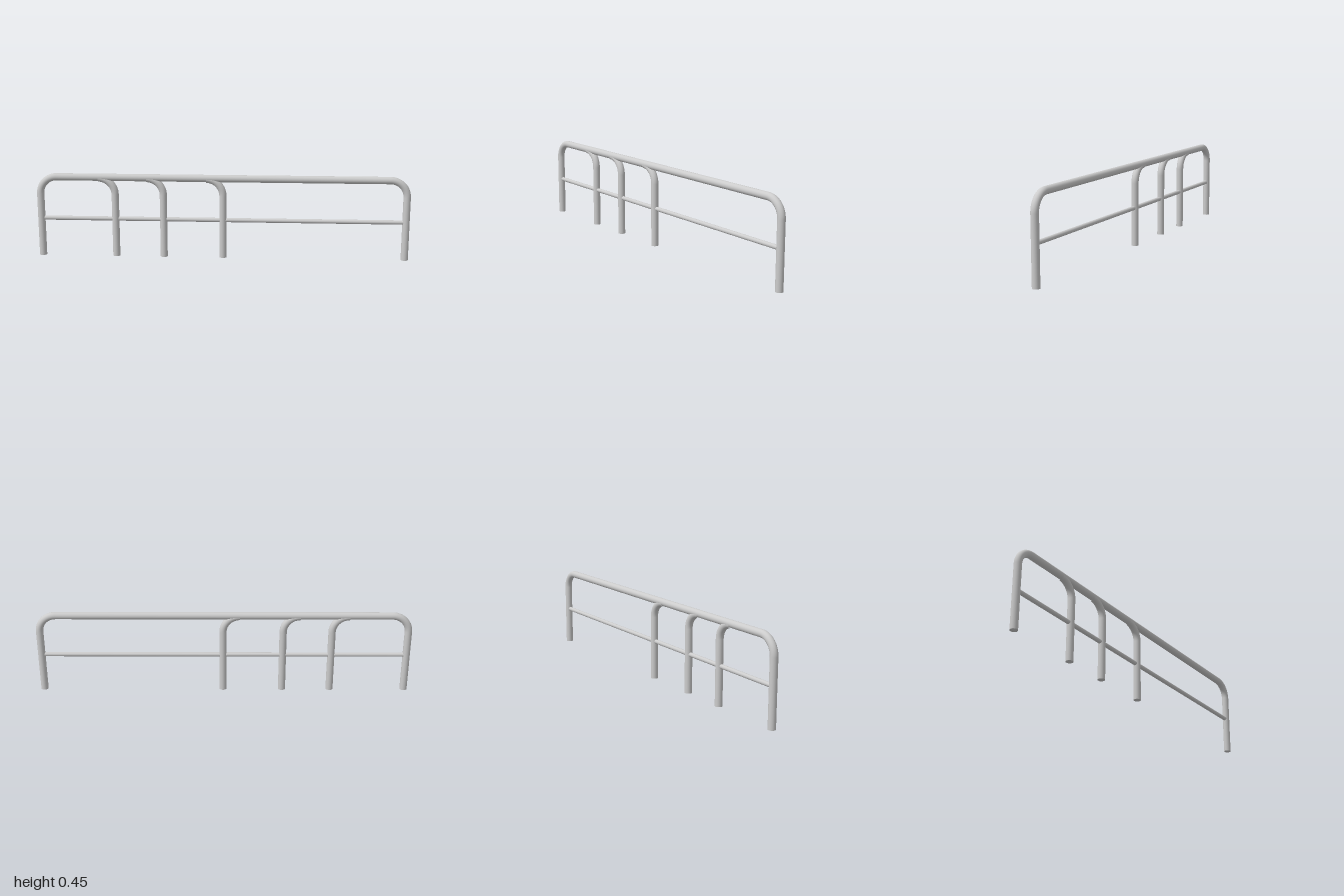
import * as THREE from 'three';
import { mergeGeometries } from 'three/addons/utils/BufferGeometryUtils.js';

const R = 0.0195;      // main tube radius
const BEND = 0.09;     // centreline radius of the bends
const TOP = 0.434;     // height of the top rail's centreline
const END = 0.98;      // x of the outer legs
const SIDES = 24;

const upright = (x, height) =>
  new THREE.CylinderGeometry(R, R, height, SIDES).translate(x, height / 2, 0);

const bar = (x0, x1, y, r) =>
  new THREE.CylinderGeometry(r, r, x1 - x0, SIDES).rotateZ(Math.PI / 2).translate((x0 + x1) / 2, y, 0);

// Quarter bend from the top of a leg at x towards the rail; side = 1 bends to -x, -1 to +x
function bend(x, side) {
  const g = new THREE.TorusGeometry(BEND, R, SIDES, 14, Math.PI / 2);
  if (side < 0) g.rotateZ(Math.PI / 2);
  return g.translate(x - side * BEND, TOP - BEND, 0);
}

export function createModel() {
  const group = new THREE.Group();
  group.name = 'railing';
  const material = new THREE.MeshStandardMaterial({ color: 0xcccccc });
  const add = (name, geometry) => {
    const mesh = new THREE.Mesh(geometry, material);
    mesh.name = name;
    group.add(mesh);
  };

  // Outer frame: two legs, two bends and the top rail in one pipe
  const frame = [bar(-END + BEND, END - BEND, TOP, R)];
  for (const side of [-1, 1]) {
    frame.push(upright(side * END, TOP - BEND), bend(side * END, side));
  }
  add('outerFrame', mergeGeometries(frame));

  // Inner legs curving into the top rail
  [-0.575, -0.315, 0.005].forEach((x, i) => {
    // Set slightly low so the bend blends into the underside of the rail
    const leg = mergeGeometries([upright(x, TOP - BEND), bend(x, 1)]);
    add(`innerLeg${i + 1}`, leg.scale(1, 0.99, 0.99));
  });

  // Thin lower rail
  add('lowerRail', bar(-END, END, 0.207, 0.0115));

  return group;
}
